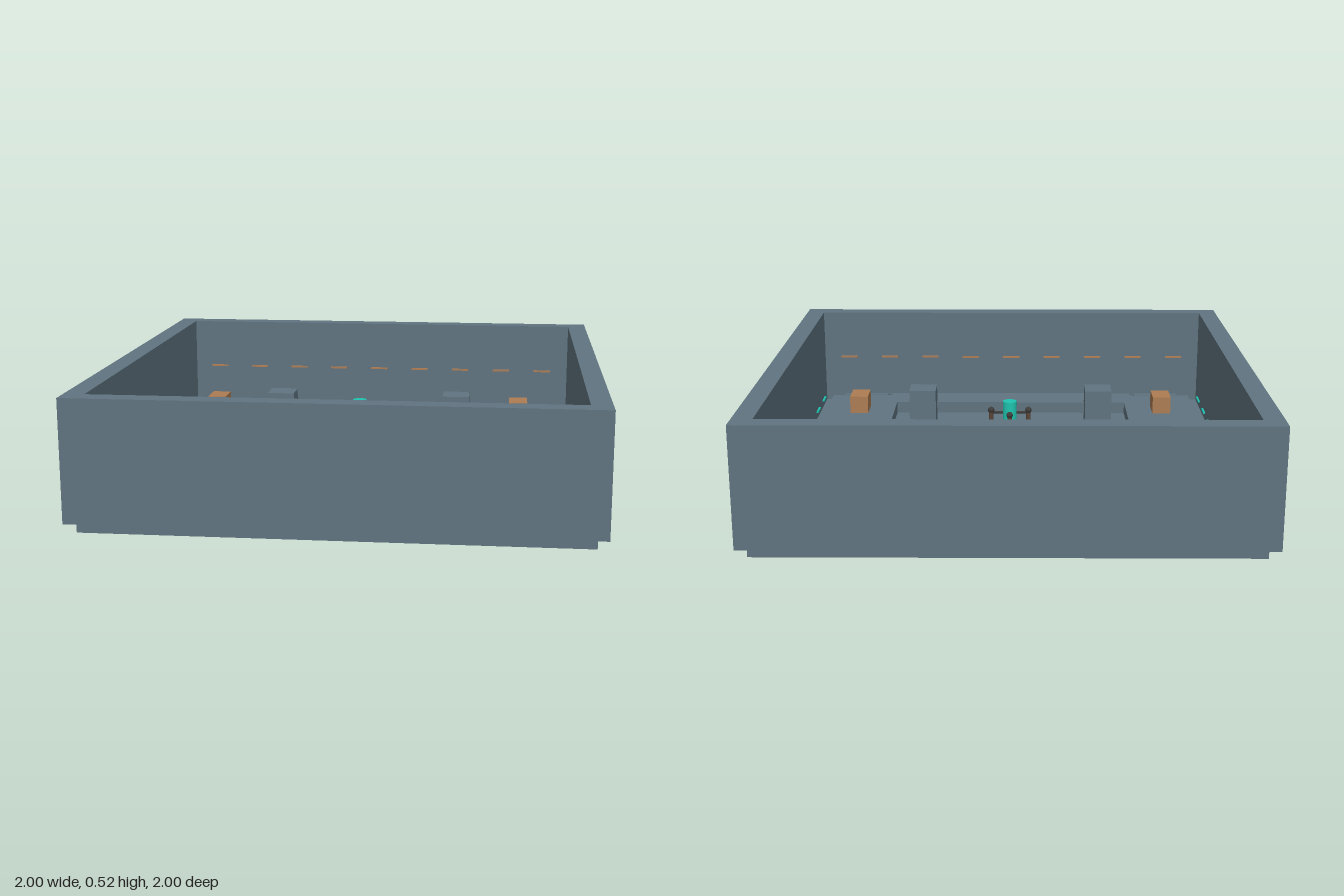
import * as THREE from 'three';

export function createModel() {
  const model = new THREE.Group();
  const mat = (name, color) => {
    const m = new THREE.MeshStandardMaterial({ color });
    m.name = name;
    return m;
  };
  const slate = mat('slate', 0x607480);
  const crateBrown = mat('crate brown', 0xad7d54);
  const teal = mat('teal', 0x1fc4b0);
  const bronze = mat('dark bronze', 0x5a4638);
  const iron = mat('iron', 0x3f3d3b);

  const add = (name, geometry, material, x, y, z) => {
    const mesh = new THREE.Mesh(geometry, material);
    mesh.name = name;
    mesh.position.set(x, y, z);
    model.add(mesh);
    return mesh;
  };
  // Box given by the height of its underside
  const box = (name, material, w, h, d, x, y, z) =>
    add(name, new THREE.BoxGeometry(w, h, d), material, x, y + h / 2, z);
  const rectangle = (Type, w, d) => new Type([[-w, -d], [w, -d], [w, d], [-w, d]]
    .map(([x, y]) => new THREE.Vector2(x, y)));
  const slab = (name, shape, hole, y, h) => {
    shape.holes.push(hole);
    const g = new THREE.ExtrudeGeometry(shape, { depth: h, bevelEnabled: false });
    add(name, g.rotateX(-Math.PI / 2), slate, 0, y, 0);
  };

  const floor = 0.08, deck = 0.2;

  // Floor plate and surrounding walls
  box('floorBase', slate, 1.92, floor, 1.92, 0, 0, 0);
  slab('outerWalls', rectangle(THREE.Shape, 1, 1), rectangle(THREE.Path, 0.92, 0.92), 0.043, 0.477);

  // Raised walkway around the central court
  const outline = new THREE.Shape([
    [-0.835, -0.56], [-0.56, -0.56], [-0.56, -0.6], [0.56, -0.6], [0.56, -0.56], [0.835, -0.56],
    [0.835, 0.56], [0.56, 0.56], [0.56, 0.6], [-0.56, 0.6], [-0.56, 0.56], [-0.835, 0.56],
  ].map(([x, y]) => new THREE.Vector2(x, y)));
  slab('walkway', outline, rectangle(THREE.Path, 0.525, 0.44), deck - 0.05, 0.05);

  for (const sx of [-1, 1]) {
    for (const sz of [-1, 1]) {
      box('pillar', slate, 0.12, 0.2, 0.12, sx * 0.4, floor, sz * 0.4);
      box('lowerCrate', crateBrown, 0.12, 0.075, 0.08, sx * 0.2, floor, sz * 0.24);
      box('upperCrate', crateBrown, 0.08, 0.075, 0.12, sx * 0.68, deck, sz * 0.32);

      // Stairs climbing toward the walkway
      const steps = 10, run = 0.028;
      for (let i = 0; i < steps; i++) {
        const rise = (deck - floor) * (i + 1) / steps;
        box('stairStep', slate, 0.2, rise, run, sx * 0.68, floor, sz * (0.85 - run * (i + 0.5)));
      }
    }
  }

  // Rows of small light strips along the walls
  for (let i = -4; i <= 4; i++) {
    for (const s of [-1, 1]) {
      box('wallLight', crateBrown, 0.08, 0.008, 0.009, i * 0.2, 0.295, s * 0.9155);
      box('floorLight', teal, 0.009, 0.008, 0.08, s * 0.9155, 0.11, i * 0.2);
    }
  }

  // Central reactor on its pedestal
  box('pedestal', slate, 0.2, 0.04, 0.2, 0, floor, 0);
  add('reactorCore', new THREE.CylinderGeometry(0.03, 0.03, 0.21, 20), teal, 0, 0.225, 0);
  for (let i = 0; i < 4; i++) {
    const a = i * Math.PI / 2, x = Math.cos(a), z = Math.sin(a);
    add('reactorPost', new THREE.CylinderGeometry(0.01, 0.01, 0.17, 10), bronze, x * 0.08, 0.205, z * 0.08);
    add('postCap', new THREE.SphereGeometry(0.014, 10, 8), iron, x * 0.08, 0.29, z * 0.08);
    const pipe = add('reactorPipe', new THREE.CylinderGeometry(0.006, 0.006, 0.08, 8), iron, x * 0.045, 0.28, z * 0.045);
    pipe.rotation.set(i % 2 ? Math.PI / 2 : 0, 0, i % 2 ? 0 : Math.PI / 2);
  }
  return model;
}
